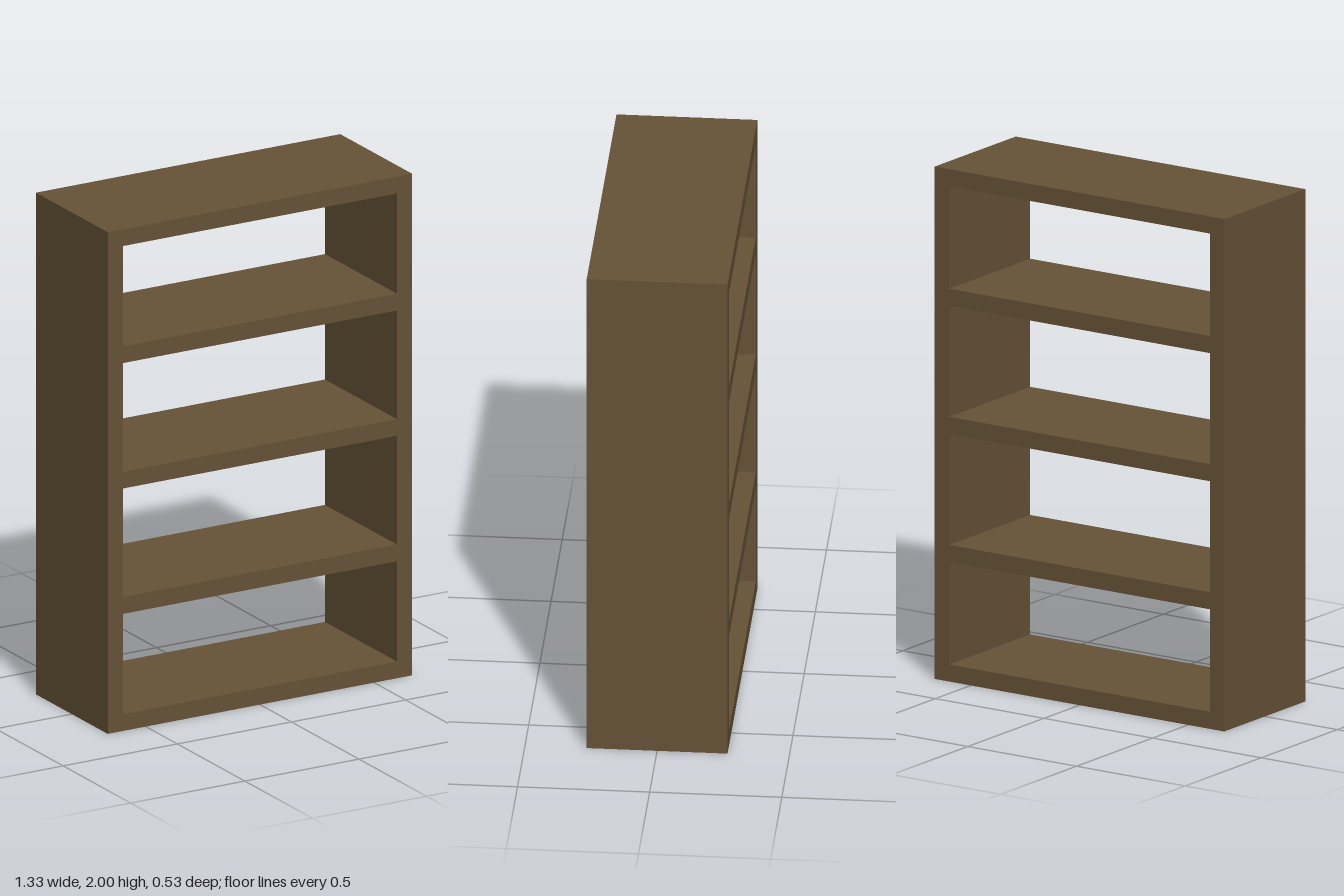
import * as THREE from 'three';

const WIDTH = 1.333, HEIGHT = 2, DEPTH = 0.533, BOARD = 0.0667;

export function createModel() {
  const bookcase = new THREE.Group();
  bookcase.name = 'bookcase';
  const wood = new THREE.MeshStandardMaterial({ color: 0x665237 });

  function addBoard(name, width, height, x, y) {
    const board = new THREE.Mesh(new THREE.BoxGeometry(width, height, DEPTH), wood);
    board.name = name;
    board.position.set(x, y, 0);
    bookcase.add(board);
  }

  // Full-height side panels
  const sideX = (WIDTH - BOARD) / 2;
  addBoard('leftSide', BOARD, HEIGHT, sideX, HEIGHT / 2);
  addBoard('rightSide', BOARD, HEIGHT, -sideX, HEIGHT / 2);

  // Top and bottom boards fitted between the sides
  const innerWidth = WIDTH - 2 * BOARD;
  addBoard('bottomBoard', innerWidth, BOARD, 0, BOARD / 2);
  addBoard('topBoard', innerWidth, BOARD, 0, HEIGHT - BOARD / 2);

  // Three shelves dividing the open frame
  for (let i = 1; i <= 3; i++) {
    addBoard(`shelf${i}`, innerWidth, BOARD, 0, (HEIGHT * i) / 4);
  }

  return bookcase;
}
